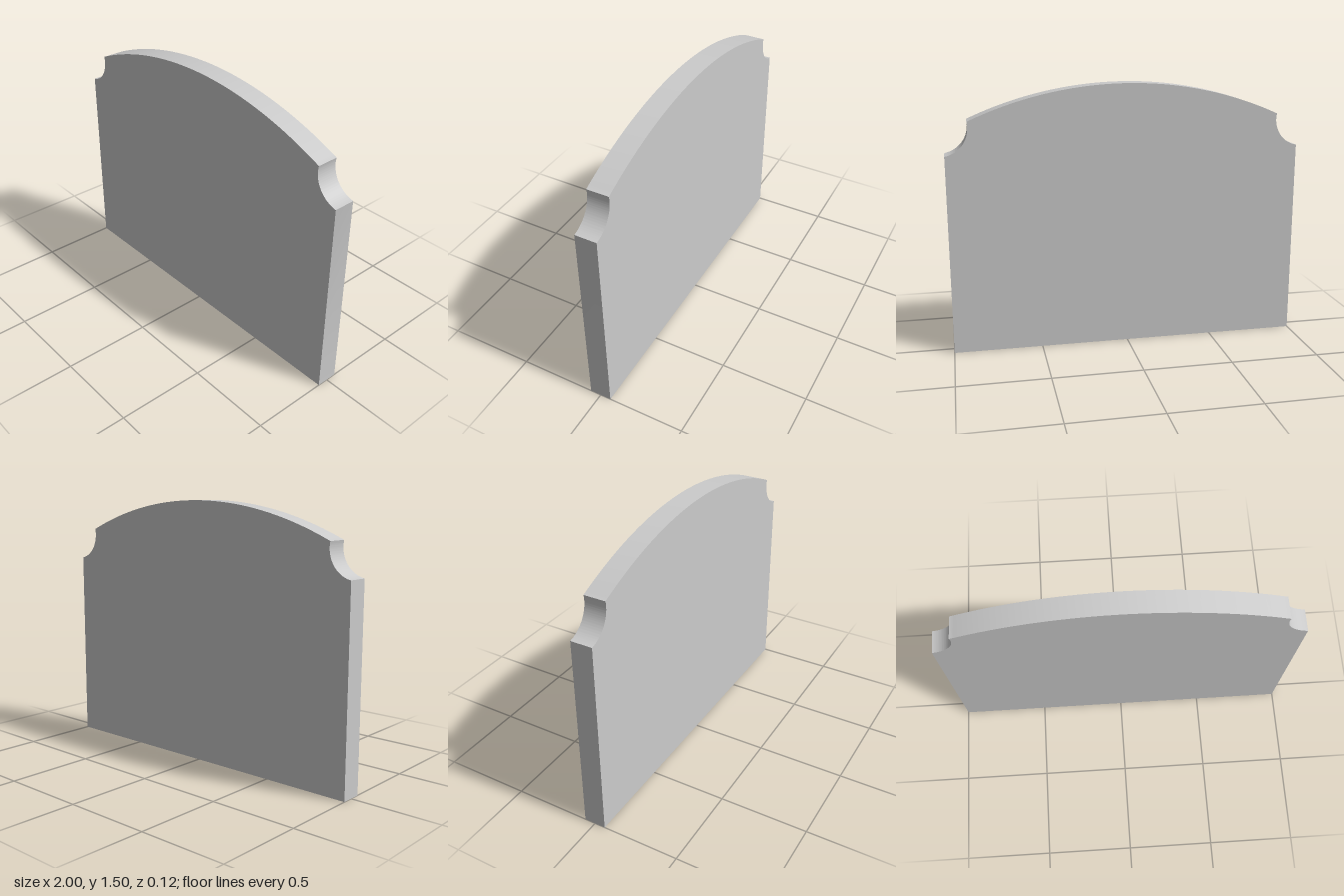
import * as THREE from 'three';
import { toCreasedNormals } from 'three/addons/utils/BufferGeometryUtils.js';

const DEPTH = 0.124;
const SHOULDER = 1.127;            // height of the straight sides
const CROWN = 1.5;                 // height of the arched top
const NOTCH = { x: 1.027, y: 1.28, r: 0.155 };
const TIP = { x: 0.875, y: 1.312 }; // where notch meets arch

function panelShape() {
  const sag = CROWN - TIP.y;
  const R = (TIP.x ** 2 + sag ** 2) / (2 * sag);
  const half = Math.asin(TIP.x / R);
  const a0 = Math.atan2(SHOULDER - NOTCH.y, 1 - NOTCH.x) + 2 * Math.PI;
  const a1 = Math.atan2(TIP.y - NOTCH.y, TIP.x - NOTCH.x);

  const s = new THREE.Shape();
  s.moveTo(-1, 0);
  s.lineTo(1, 0);
  s.lineTo(1, SHOULDER);
  // scooped corner, arched top, mirrored scooped corner
  s.absarc(NOTCH.x, NOTCH.y, NOTCH.r, a0, a1, true);
  s.absarc(0, CROWN - R, R, Math.PI / 2 - half, Math.PI / 2 + half, false);
  s.absarc(-NOTCH.x, NOTCH.y, NOTCH.r, Math.PI - a1, Math.PI - a0, true);
  s.lineTo(-1, 0);
  return s;
}

export function createModel() {
  const group = new THREE.Group();
  group.name = 'archedPanel';

  // solid slab with creased edges and smooth curved rims
  const slab = new THREE.ExtrudeGeometry(panelShape(), {
    depth: DEPTH, bevelEnabled: false, curveSegments: 32,
  });
  slab.translate(0, 0, -DEPTH / 2);
  const panel = new THREE.Mesh(
    toCreasedNormals(slab, Math.PI / 9),
    new THREE.MeshStandardMaterial({ color: 0xcccccc }),
  );
  panel.name = 'panel';
  group.add(panel);
  return group;
}
